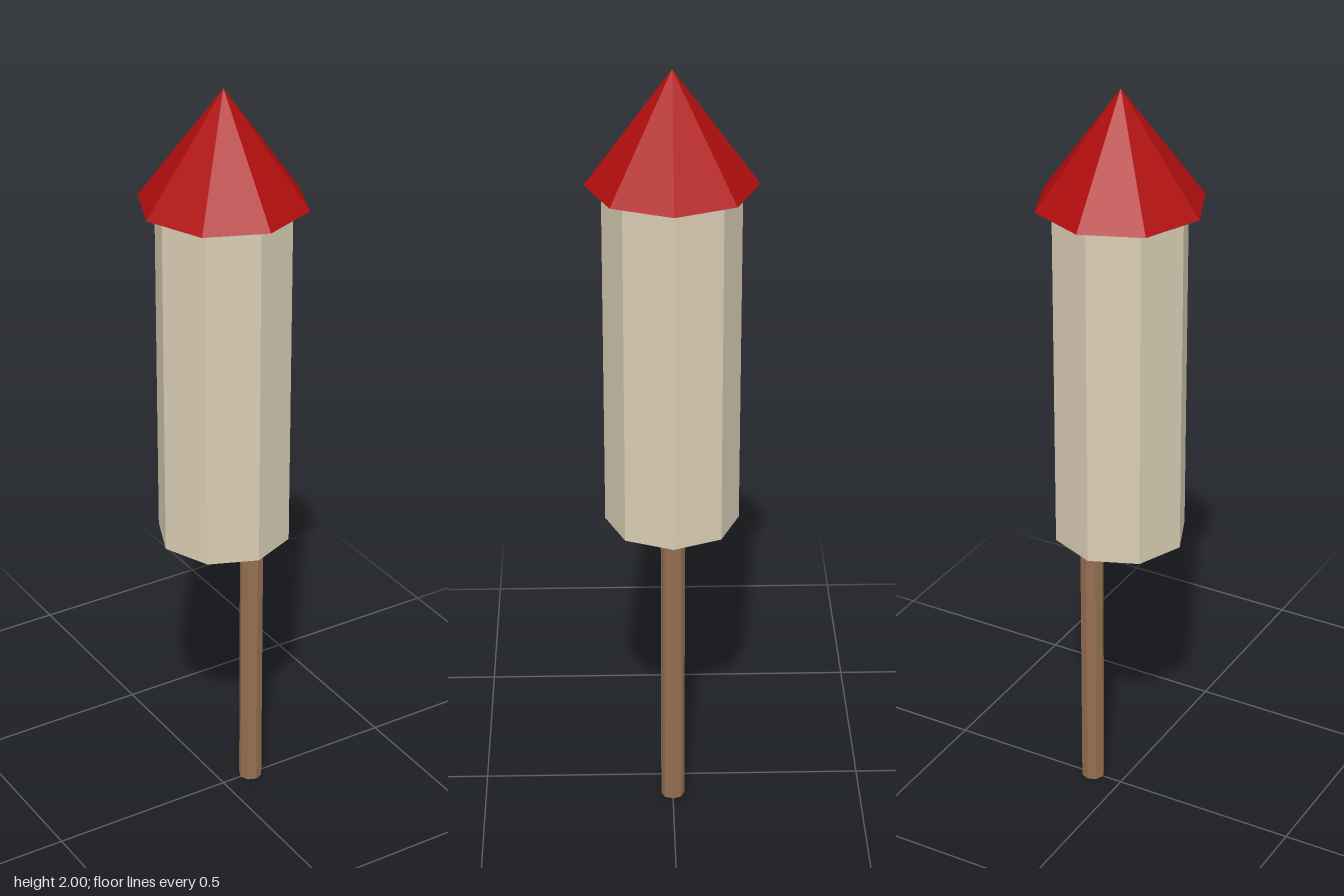
import * as THREE from 'three';

const SIDES = 8;

function material(name, color) {
  const m = new THREE.MeshStandardMaterial({ color, flatShading: true });
  m.name = name;
  return m;
}

// Upright eight-sided part spanning bottom..top in y
function column(name, rTop, rBottom, bottom, top, mat, x = 0) {
  const geometry = new THREE.CylinderGeometry(rTop, rBottom, top - bottom, SIDES);
  const mesh = new THREE.Mesh(geometry, mat);
  mesh.name = name;
  mesh.position.set(x, (bottom + top) / 2, 0);
  return mesh;
}

export function createModel() {
  const red = material('red', 0xb00e0e);
  const cream = material('cream', 0xd8ccb4);
  const wood = material('wood', 0x946f50);

  const rocket = new THREE.Group();
  rocket.name = 'fireworkRocket';
  rocket.add(
    column('noseCone', 0.001, 0.214, 1.71, 2, red),
    column('bodyTube', 0.172, 0.172, 0.795, 1.712, cream),
    // guide stick, set off to one side and let into the body
    column('stick', 0.031, 0.031, 0, 0.82, wood, 0.086),
  );
  return rocket;
}
